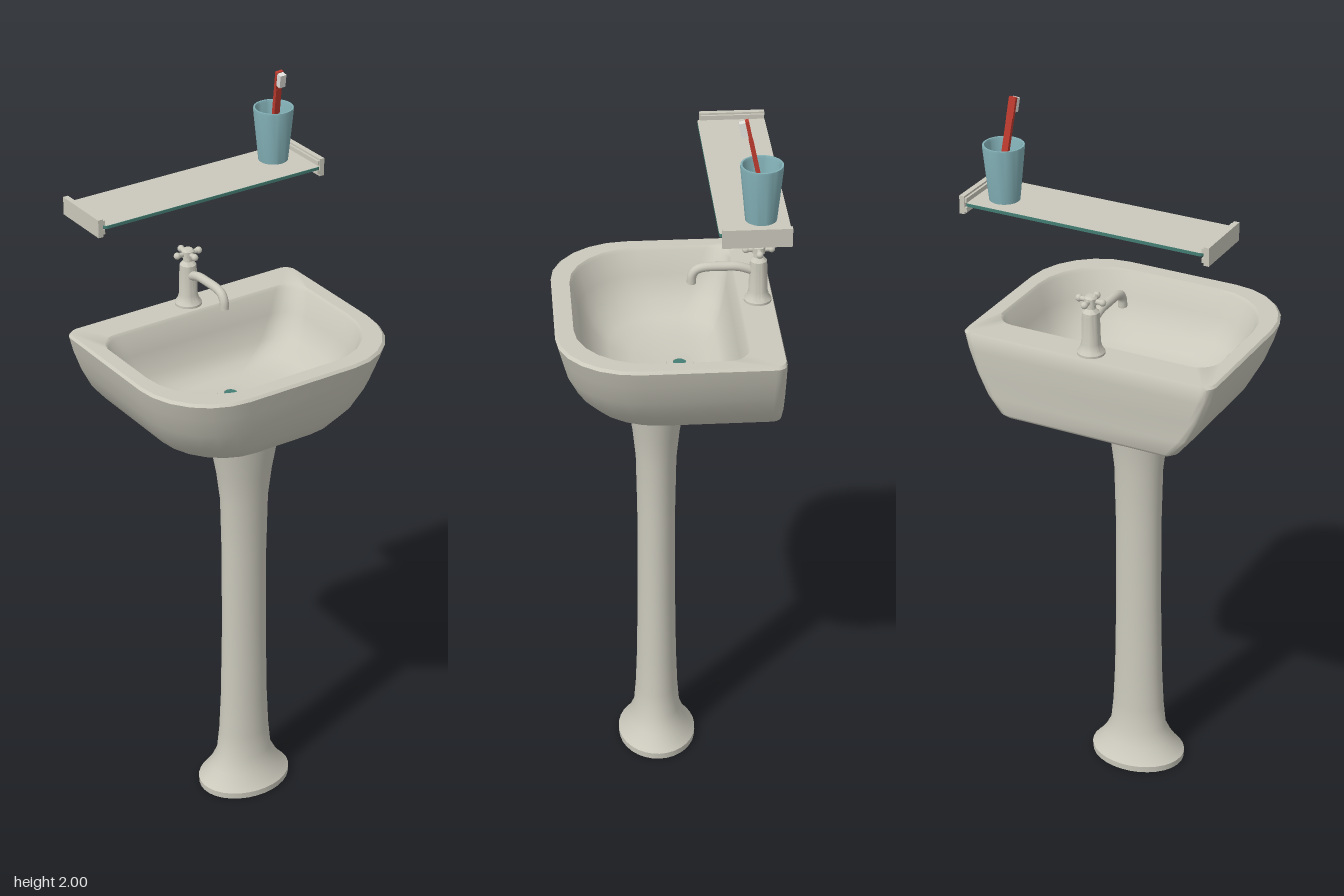
import * as THREE from 'three';
import { toCreasedNormals } from 'three/addons/utils/BufferGeometryUtils.js';

const mat = (name, color) => {
  const m = new THREE.MeshStandardMaterial({ color });
  m.name = name;
  return m;
};

// Closed horizontal outline with elliptical corners, ordered +x, +z, -x, -z
function outline({ y, w, zb, zf, rx, rz, rb }) {
  const n = 6, pts = [];
  const corners = [[1, 1], [-1, 1], [-1, -1], [1, -1]];
  corners.forEach(([sx, sz], q) => {
    const ax = sz > 0 ? rx : rb, az = sz > 0 ? rz : rb;
    const cx = sx * (w - ax), cz = sz > 0 ? zf - az : zb + az;
    for (let i = 0; i <= n; i++) {
      const a = (q + i / n) * Math.PI / 2;
      pts.push([cx + ax * Math.cos(a), y, cz + az * Math.sin(a)]);
    }
  });
  return pts;
}

// Skin joining equal-length closed rings
function loft(rings) {
  const n = rings[0].length, index = [];
  for (let i = 0; i < rings.length - 1; i++) {
    for (let j = 0; j < n; j++) {
      const a = i * n + j, b = i * n + (j + 1) % n;
      index.push(a, a + n, b, b, a + n, b + n);
    }
  }
  const g = new THREE.BufferGeometry();
  g.setAttribute('position', new THREE.Float32BufferAttribute(rings.flat(2), 3));
  g.setIndex(index);
  return toCreasedNormals(g, 0.75);
}

const lathe = (pts, seg = 32, crease = 0.6) =>
  toCreasedNormals(new THREE.LatheGeometry(pts.map(p => new THREE.Vector2(...p)), seg), crease);

export function createModel() {
  const model = new THREE.Group();
  const ceramic = mat('warm grey ceramic', 0xcbc9bc);
  const glass = mat('dark teal glass', 0x437d73);
  const cupBlue = mat('blue grey cup', 0x82b0b6);
  const red = mat('red handle', 0xbb3a2e);
  const white = mat('white bristles', 0xe2e1dc);

  const add = (name, geometry, material, x = 0, y = 0, z = 0, parent = model) => {
    const m = new THREE.Mesh(geometry, material);
    m.name = name;
    m.position.set(x, y, z);
    parent.add(m);
    return m;
  };

  // Pedestal: oval column flaring at foot and top
  const pedestal = add('pedestal', lathe([
    [0, 0], [0.133, 0], [0.134, 0.018], [0.122, 0.03], [0.1, 0.06], [0.08, 0.1], [0.073, 0.17],
    [0.068, 0.28], [0.064, 0.5], [0.064, 0.75], [0.068, 0.92], [0.078, 1.0], [0.093, 1.08], [0.108, 1.165],
  ]), ceramic, 0, 0, 0.02);
  pedestal.scale.z = 0.8;

  // Basin: outside wall, flat rim and bowl in one skin
  // Columns: y, half width, back z, front z, front corner x and z radii, back corner radius
  const basin = [
    [1.155, 0.001, -0.041, -0.04, 0.0005, 0.0005, 0.0003],
    [1.155, 0.238, -0.275, 0.188, 0.16, 0.17, 0.02],
    [1.165, 0.254, -0.284, 0.202, 0.17, 0.18, 0.025],
    [1.21, 0.291, -0.285, 0.235, 0.18, 0.19, 0.028],
    [1.27, 0.322, -0.285, 0.261, 0.19, 0.2, 0.03],
    [1.33, 0.344, -0.285, 0.275, 0.195, 0.205, 0.03],
    [1.373, 0.355, -0.285, 0.285, 0.195, 0.205, 0.03],
    [1.38, 0.349, -0.282, 0.279, 0.192, 0.202, 0.03],
    [1.38, 0.312, -0.198, 0.237, 0.185, 0.19, 0.06],
    [1.372, 0.305, -0.192, 0.231, 0.18, 0.185, 0.06],
    [1.31, 0.288, -0.182, 0.215, 0.175, 0.18, 0.07],
    [1.25, 0.258, -0.165, 0.18, 0.16, 0.165, 0.08],
    [1.218, 0.215, -0.145, 0.14, 0.14, 0.14, 0.085],
    [1.203, 0.15, -0.115, 0.08, 0.1, 0.09, 0.07],
    [1.199, 0.036, -0.078, -0.006, 0.035, 0.035, 0.035],
    [1.199, 0.001, -0.043, -0.041, 0.0009, 0.0009, 0.0009],
  ].map(([y, w, zb, zf, rx, rz, rb]) => outline({ y, w, zb, zf, rx, rz, rb }));
  add('basin', loft(basin), ceramic);

  // Drain
  add('drainRing', lathe([[0.036, 1.198], [0.035, 1.204], [0.018, 1.204], [0.016, 1.2]]), ceramic, 0, 0, -0.042);
  add('drainPlug', new THREE.CylinderGeometry(0.017, 0.017, 0.005, 24), glass, 0, 1.2005, -0.042);

  // Tap
  const tap = new THREE.Group();
  tap.name = 'tap';
  tap.position.set(0, 1.38, -0.243);
  model.add(tap);
  add('tapBody', lathe([
    [0.036, 0], [0.036, 0.006], [0.029, 0.016], [0.025, 0.03], [0.023, 0.1], [0.022, 0.115], [0.013, 0.125],
    [0.012, 0.135], [0.017, 0.137], [0.017, 0.154], [0.012, 0.159], [0, 0.161],
  ], 20), ceramic, 0, 0, 0, tap);
  const spoutPath = new THREE.CatmullRomCurve3([
    [0, 0.085, 0.01], [0, 0.098, 0.05], [0, 0.1, 0.09], [0, 0.099, 0.14], [0, 0.092, 0.16], [0, 0.077, 0.17], [0, 0.055, 0.172],
  ].map(p => new THREE.Vector3(...p)));
  add('spout', new THREE.TubeGeometry(spoutPath, 24, 0.012, 14), ceramic, 0, 0, 0, tap);
  const tip = add('spoutEnd', new THREE.CircleGeometry(0.012, 14), ceramic, 0, 0.055, 0.172, tap);
  tip.rotation.x = Math.PI / 2;
  for (let i = 0; i < 4; i++) {
    const arm = new THREE.Group();
    arm.name = 'handleArm';
    arm.position.y = 0.146;
    arm.rotation.y = i * Math.PI / 2;
    tap.add(arm);
    add('armRod', new THREE.CylinderGeometry(0.0075, 0.006, 0.03, 10), ceramic, 0.022, 0, 0, arm).rotation.z = -Math.PI / 2;
    add('armKnob', new THREE.SphereGeometry(0.0095, 12, 8), ceramic, 0.033, 0, 0, arm);
  }

  // Shelf: rounded glass plate with a pale top face, held by end brackets
  const plate = new THREE.Shape();
  const hw = 0.326, hd = 0.088, r = 0.008;
  plate.moveTo(-hw + r, -hd).lineTo(hw - r, -hd).quadraticCurveTo(hw, -hd, hw, -hd + r)
    .lineTo(hw, hd - r).quadraticCurveTo(hw, hd, hw - r, hd)
    .lineTo(-hw + r, hd).quadraticCurveTo(-hw, hd, -hw, hd - r)
    .lineTo(-hw, -hd + r).quadraticCurveTo(-hw, -hd, -hw + r, -hd);
  const slab = new THREE.ExtrudeGeometry(plate, { depth: 0.008, bevelEnabled: false }).rotateX(-Math.PI / 2);
  add('shelfGlass', slab, glass, 0, 1.731, -0.199);
  add('shelfTop', new THREE.ShapeGeometry(plate).rotateX(-Math.PI / 2), ceramic, 0, 1.74, -0.199);
  for (const s of [-1, 1]) {
    add('shelfBracket', new THREE.BoxGeometry(0.014, 0.048, 0.17), ceramic, s * 0.336, 1.733, -0.202);
    for (const y of [1.721, 1.746]) {
      add('bracketLip', new THREE.BoxGeometry(0.008, 0.012, 0.168), ceramic, s * 0.327, y, -0.202);
    }
  }

  // Cup
  add('cup', lathe([
    [0.039, 1.7405], [0.053, 1.88], [0.0525, 1.886], [0.048, 1.886], [0.046, 1.88], [0.034, 1.7405],
  ]), cupBlue, 0.252, 0, -0.219);

  // Toothbrush leaning in the cup
  const brush = new THREE.Group();
  brush.name = 'toothbrush';
  const foot = new THREE.Vector3(0.26, 1.745, -0.235), head = new THREE.Vector3(0.243, 1.998, -0.181);
  const axis = head.clone().sub(foot), length = axis.length();
  brush.position.copy(foot);
  brush.quaternion.setFromUnitVectors(new THREE.Vector3(0, 1, 0), axis.normalize());
  model.add(brush);
  add('brushHandle', new THREE.BoxGeometry(0.017, length - 0.05, 0.011), red, 0, (length - 0.05) / 2, 0, brush);
  add('brushHead', new THREE.BoxGeometry(0.019, 0.055, 0.009), red, 0, length - 0.0275, 0, brush);
  add('bristles', new THREE.BoxGeometry(0.018, 0.036, 0.015), white, 0, length - 0.02, 0.012, brush);

  return model;
}
